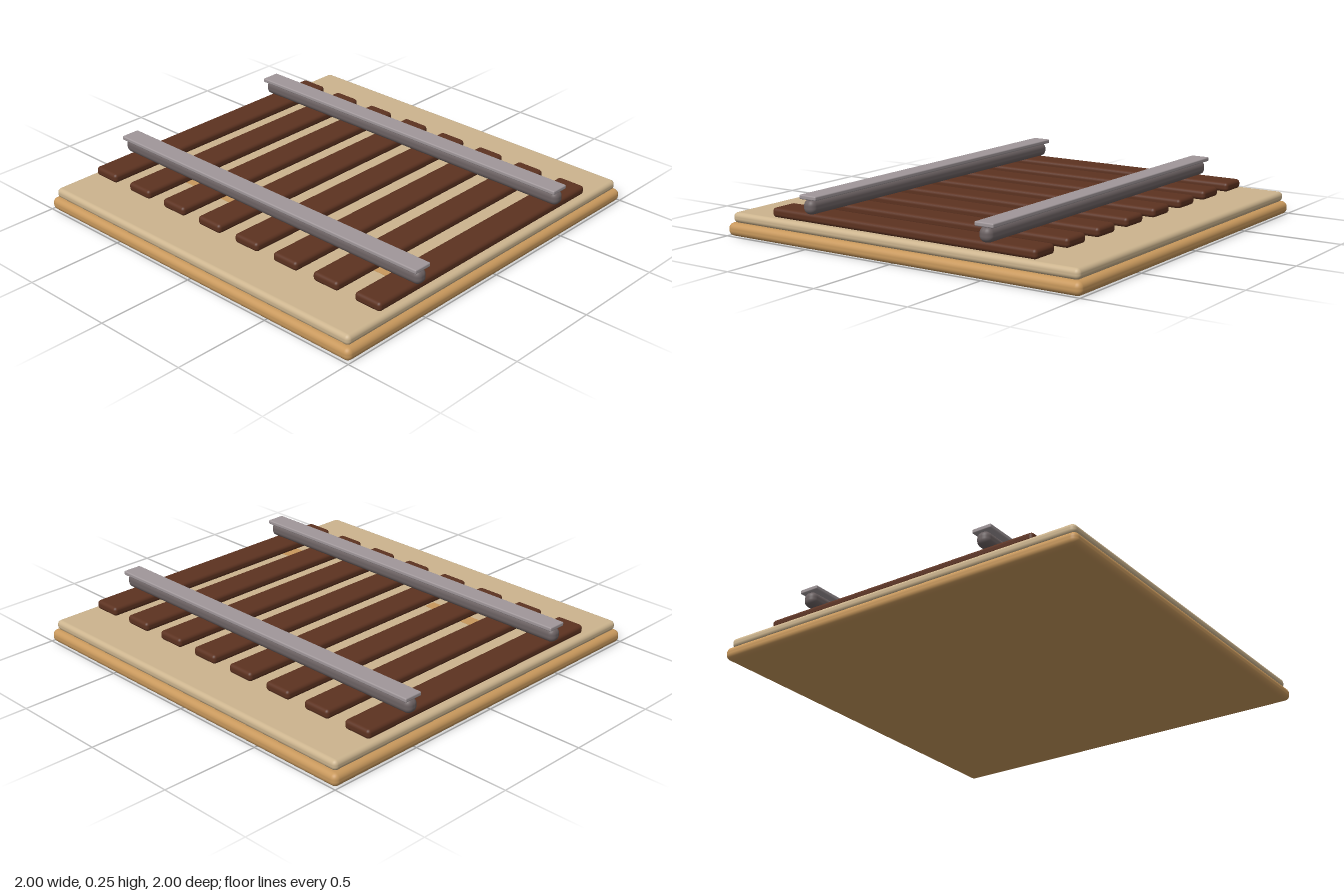
import * as THREE from 'three';
import { RoundedBoxGeometry } from 'three/addons/geometries/RoundedBoxGeometry.js';

const paint = (name, color) => {
  const m = new THREE.MeshStandardMaterial({ color });
  m.name = name;
  return m;
};

export function createModel() {
  const group = new THREE.Group();
  group.name = 'trackTile';
  const sand = paint('sand', 0xc8985c);
  const gravel = paint('gravel', 0xccb48e);
  const wood = paint('dark wood', 0x5c3220);
  const iron = paint('dark iron', 0x6c6263);
  const steel = paint('steel', 0xa0979a);

  // Rounded slab spanning y0 to y1, centred on (x, z)
  const slab = (name, mat, w, d, y0, y1, r, x = 0, z = 0) => {
    const mesh = new THREE.Mesh(new RoundedBoxGeometry(w, y1 - y0, d, 4, r), mat);
    mesh.name = name;
    mesh.position.set(x, (y0 + y1) / 2, z);
    group.add(mesh);
  };

  // Ground layers
  slab('base', sand, 2, 2, 0, 0.065, 0.028);
  slab('ballast', gravel, 1.96, 1.96, 0.064, 0.115, 0.022);

  // Sleepers
  for (let i = 0; i < 8; i++) {
    slab('sleeper', wood, 0.15, 1.5, 0.113, 0.16, 0.018, -0.875 + i * 0.25);
  }

  // Rails: rounded body with a flat running cap
  for (const z of [-0.5, 0.5]) {
    slab('railBody', iron, 1.96, 0.068, 0.158, 0.23, 0.03, 0, z);
    slab('railCap', steel, 1.955, 0.1, 0.229, 0.25, 0.006, 0, z);
  }

  // Thin sand patches showing on the ballast
  const patches = [
    [[-0.6, 0.46], [-0.54, 0.425], [-0.4, 0.425], [-0.2, 0.44], [-0.2, 0.5], [-0.6, 0.5]],
    [[0.66, 0.46], [0.76, 0.4], [0.84, 0.39], [0.88, 0.5], [0.66, 0.5]],
  ];
  for (const points of patches) {
    const shape = new THREE.Shape(points.map(([x, z]) => new THREE.Vector2(x, -z)));
    const geo = new THREE.ExtrudeGeometry(shape, { depth: 0.003, bevelEnabled: false });
    const patch = new THREE.Mesh(geo.rotateX(-Math.PI / 2), sand);
    patch.name = 'sandPatch';
    patch.position.y = 0.114;
    group.add(patch);
  }
  return group;
}
